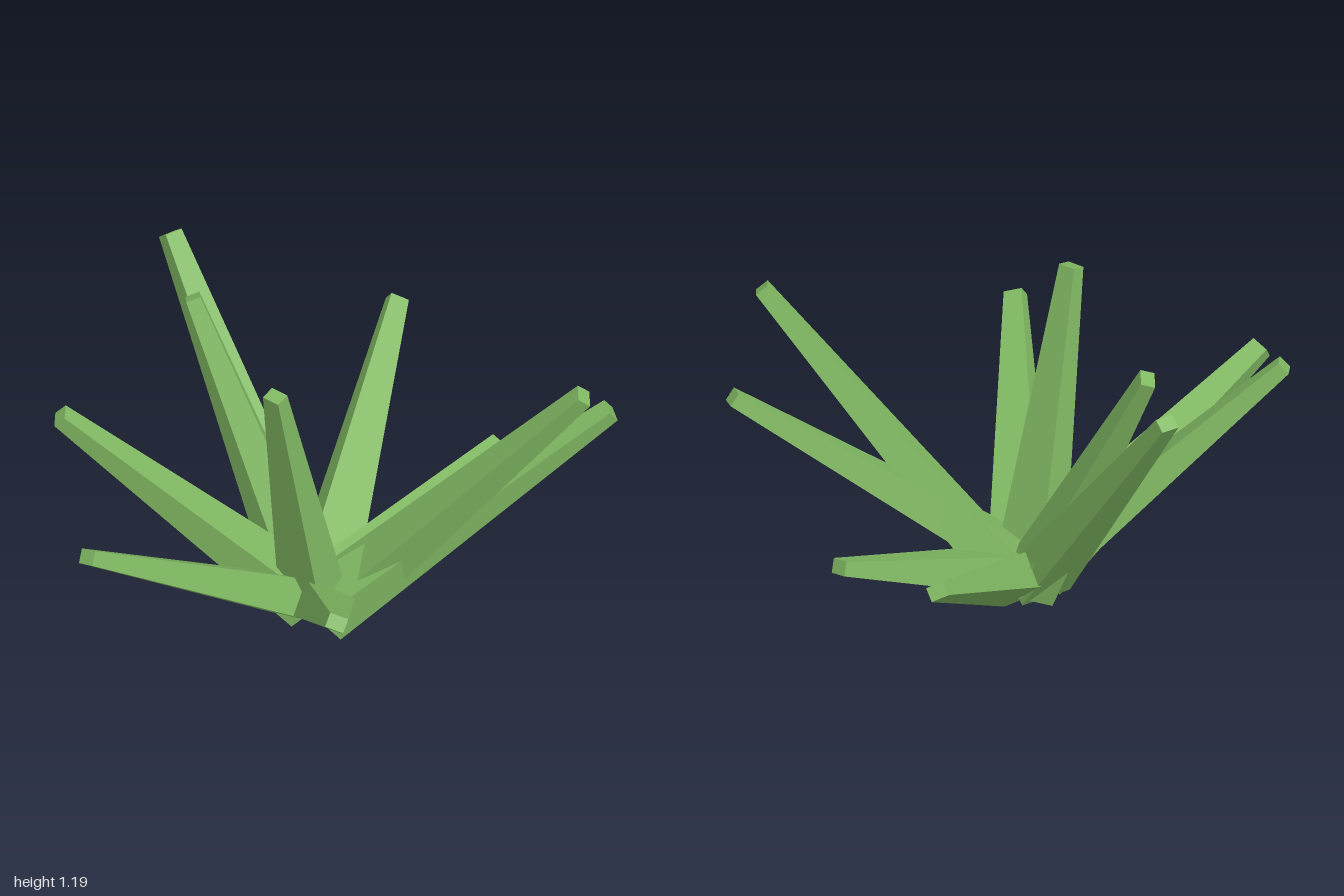
import * as THREE from 'three';

// Leaf cross-section: [width, thickness]
const BASE = [0.2, 0.148], TIP = [0.068, 0.053];
const BASE_HEIGHT = 0.095;

// Each leaf: [tip x, y, z, base x, z, roll in degrees]
const LEAVES = [
  [0.215, 1.14, -0.86, 0.01, -0.05, 0],
  [0, 1.115, -0.57, 0.025, -0.04, -45],
  [-0.64, 0.92, -0.635, -0.03, -0.01, 10],
  [-0.975, 0.685, -0.22, -0.04, 0, -20],
  [-0.325, 1.175, 0.093, -0.04, 0.03, 10],
  [-0.685, 0.67, 0.69, -0.03, 0.06, 22],
  [0.45, 1.115, 0.86, 0.05, 0.07, -20],
  [0.735, 0.84, 0.74, -0.06, 0.08, -12],
  [0.795, 0.395, 0.175, 0.01, 0.035, -12],
  [0.975, 0.625, -0.46, 0.03, 0, -30],
];

// Four-sided bar along +z, narrowing from base to tip
function taperedBar(length) {
  const geo = new THREE.BoxGeometry(1, 1, length);
  geo.translate(0, 0, length / 2);
  const p = geo.attributes.position;
  for (let i = 0; i < p.count; i++) {
    const t = p.getZ(i) / length;
    p.setX(i, p.getX(i) * THREE.MathUtils.lerp(BASE[0], TIP[0], t));
    p.setY(i, p.getY(i) * THREE.MathUtils.lerp(BASE[1], TIP[1], t));
  }
  geo.computeVertexNormals();
  return geo;
}

export function createModel() {
  const plant = new THREE.Group();
  plant.name = 'spikyPlant';
  const green = new THREE.MeshStandardMaterial({ color: 0x80b862, flatShading: true });

  LEAVES.forEach(([tx, ty, tz, bx, bz, roll], i) => {
    const base = new THREE.Vector3(bx, BASE_HEIGHT, bz);
    const dir = new THREE.Vector3(tx, ty, tz).sub(base);
    const leaf = new THREE.Mesh(taperedBar(dir.length()), green);
    dir.normalize();

    // Side and top directions around the leaf, turned by its roll
    const side = new THREE.Vector3().crossVectors(dir, new THREE.Vector3(0, 1, 0)).normalize();
    side.applyAxisAngle(dir, -THREE.MathUtils.degToRad(roll));
    const top = new THREE.Vector3().crossVectors(dir, side);
    leaf.quaternion.setFromRotationMatrix(new THREE.Matrix4().makeBasis(side, top, dir));
    leaf.position.copy(base);
    leaf.name = `leaf${i + 1}`;
    plant.add(leaf);
  });
  return plant;
}
